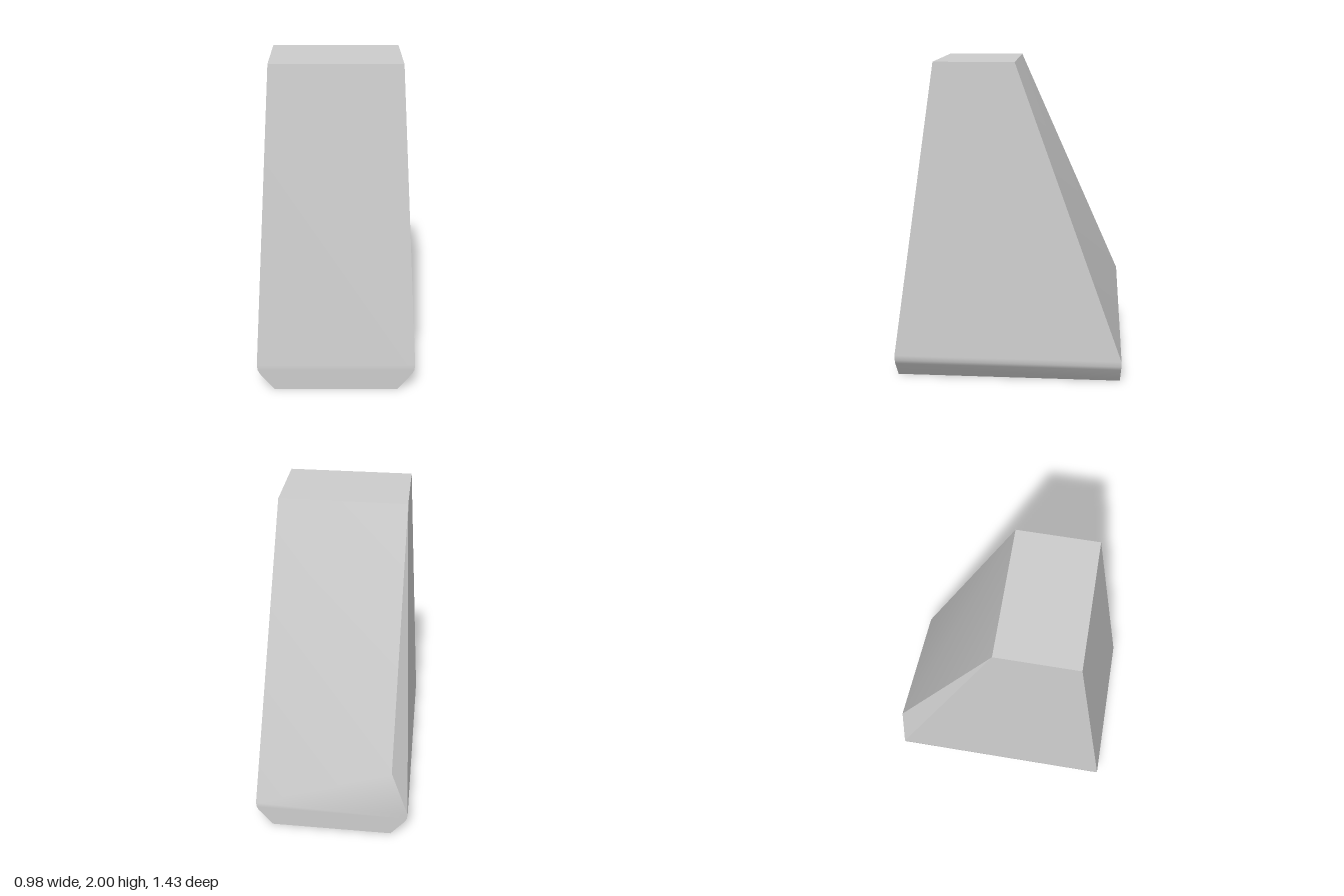
import * as THREE from 'three';
import { mergeVertices } from 'three/addons/utils/BufferGeometryUtils.js';

// Surface between two rows of corners, seen from outside: a on the left, b on the right, both going up.
function strip(a, b) {
  const points = [];
  for (let i = 0; i < a.length - 1; i++) {
    points.push(a[i], b[i], a[i + 1], b[i], b[i + 1], a[i + 1]);
  }
  const geometry = new THREE.BufferGeometry();
  geometry.setAttribute('position', new THREE.Float32BufferAttribute(points.flat(), 3));
  const merged = mergeVertices(geometry); // shared corners give soft shading inside one wall
  merged.computeVertexNormals();
  return merged;
}

export function createModel() {
  const group = new THREE.Group();
  group.name = 'taperedBlock';
  const grey = new THREE.MeshStandardMaterial({ color: 0xcccccc });
  grey.name = 'plain grey';

  const add = (name, a, b) => {
    const mesh = new THREE.Mesh(strip(a, b), grey);
    mesh.name = name;
    group.add(mesh);
  };

  // Levels from the base up: half width, height, front z, back z
  const levels = [
    [0.385, 0, 0.713, -0.713],
    [0.474, 0.115, 0.713, -0.713],
    [0.485, 0.14, 0.713, -0.713],
    [0.489, 0.175, 0.713, -0.713],
    [0.385, 2, 0.443, -0.04],
  ];
  const edge = (side, front) => levels.map(([x, y, zf, zb]) => [side * x, y, front ? zf : zb]);
  const frontLeft = edge(1, true), frontRight = edge(-1, true);
  const backLeft = edge(1, false), backRight = edge(-1, false);

  // Walls with chamfered feet
  add('frontWall', frontRight, frontLeft);
  add('leftWall', frontLeft, backLeft);
  add('rightWall', backRight, frontRight);

  // Back wall with one raised corner, closed by a narrow facet
  const raised = [-0.378, 0.51, -0.713];
  add('backWall',
    [...backLeft.slice(0, 4), backLeft[3], backLeft[4]],
    [...backRight.slice(0, 4), raised, backRight[4]]);
  add('backCornerFacet', [raised, backRight[4]], [backRight[3], backRight[4]]);

  // Flat top and base
  add('top', [frontRight[4], backRight[4]], [frontLeft[4], backLeft[4]]);
  add('base', [backRight[0], frontRight[0]], [backLeft[0], frontLeft[0]]);

  return group;
}
